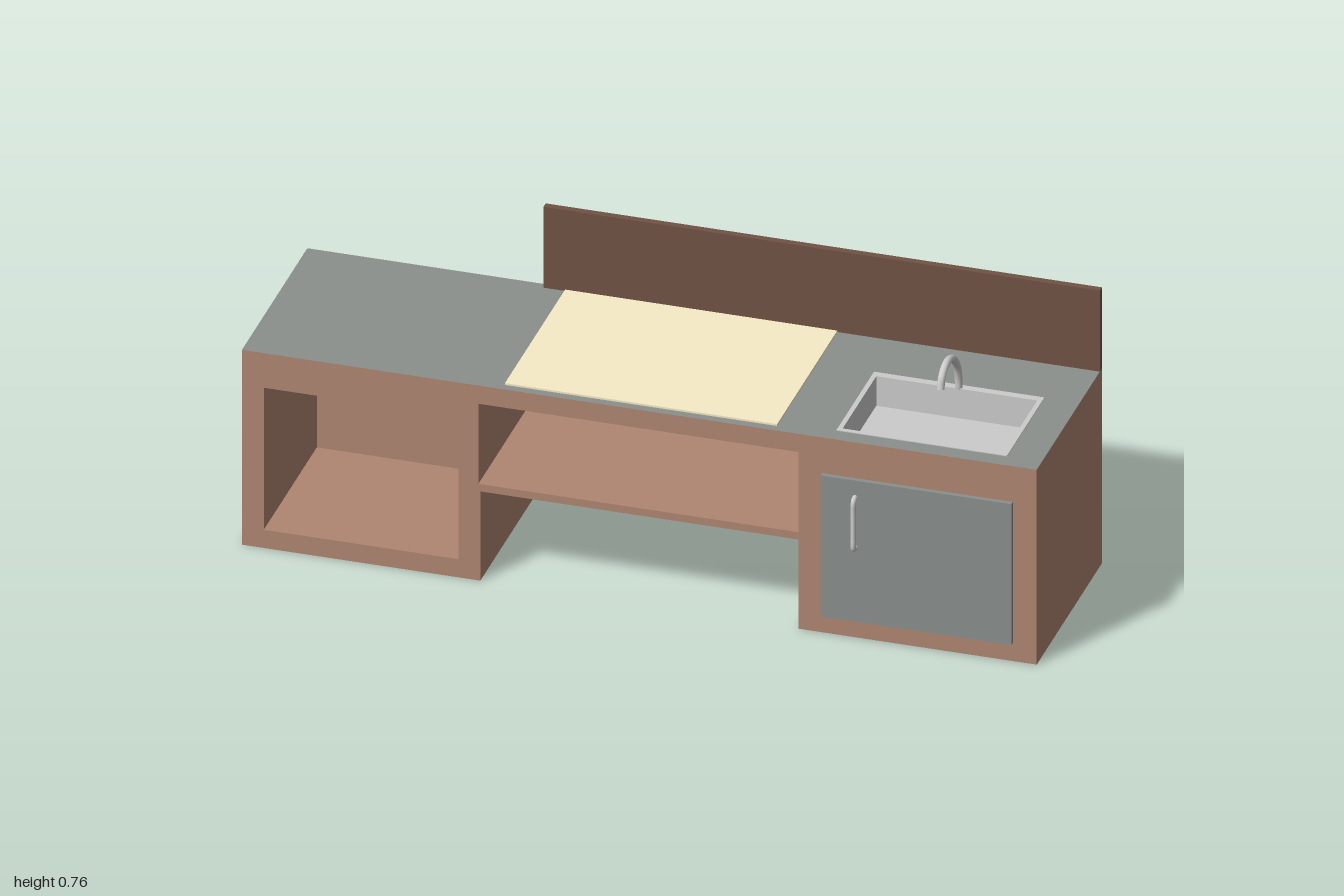
import * as THREE from 'three';

const mat = (color) => new THREE.MeshStandardMaterial({ color });

// Closed path of corner points
const polygon = (pts, Type = THREE.Shape) => new Type(pts.map(([x, y]) => new THREE.Vector2(x, y)));
const rect = (x0, x1, y0, y1, Type) => polygon([[x0, y0], [x1, y0], [x1, y1], [x0, y1]], Type);

export function createModel() {
  const model = new THREE.Group();
  const wood = mat(0xaf8672);
  const darkWood = mat(0x705244);
  const slate = mat(0x8a908d);
  const cream = mat(0xf8ecc6);
  const metal = mat(0xcccccc);

  const add = (name, geometry, material) => {
    const mesh = new THREE.Mesh(geometry, material);
    mesh.name = name;
    model.add(mesh);
    return mesh;
  };
  const box = (name, material, x0, x1, y0, y1, z0, z1) => {
    const mesh = add(name, new THREE.BoxGeometry(x1 - x0, y1 - y0, z1 - z0), material);
    mesh.position.set((x0 + x1) / 2, (y0 + y1) / 2, (z0 + z1) / 2);
  };
  // Shape drawn in x, y and extruded from z0 to z1
  const upright = (name, material, shape, z0, z1) => {
    add(name, new THREE.ExtrudeGeometry(shape, { depth: z1 - z0, bevelEnabled: false }), material).position.z = z0;
  };
  // Shape drawn in x, -z and extruded from y0 to y1
  const flat = (name, material, shape, y0, y1) => {
    const geometry = new THREE.ExtrudeGeometry(shape, { depth: y1 - y0, bevelEnabled: false });
    geometry.rotateX(-Math.PI / 2);
    add(name, geometry, material).position.y = y0;
  };

  // Cabinet body in layers: solid back, core with niches and sink cavity, front frame
  const top = 0.533;
  const outline = (notch = []) => polygon([
    [-1, 0], [-0.4, 0], [-0.4, 0.245], [0.4, 0.245], [0.4, 0], [1, 0], [1, top], ...notch, [-1, top],
  ]);
  const niches = () => [
    rect(-0.945, -0.455, 0.05, 0.44, THREE.Path),
    rect(-0.405, 0.4, 0.265, 0.485, THREE.Path),
  ];
  const core = outline([[0.93, top], [0.93, 0.4], [0.47, 0.4], [0.47, top]]);
  const frame = outline();
  core.holes = niches();
  frame.holes = niches();
  upright('cabinetBack', wood, outline(), -0.28, -0.18);
  upright('cabinetCore', wood, core, -0.18, 0.21);
  upright('cabinetFrontFrame', wood, frame, 0.21, 0.248);

  // Countertop skin with sink opening
  const counter = rect(-1, 1, -0.248, 0.28);
  counter.holes = [rect(0.487, 0.908, -0.202, 0.095, THREE.Path)];
  flat('countertop', [slate, wood], counter, top, 0.535);
  box('cuttingBoard', cream, -0.345, 0.34, 0.535, 0.54, -0.26, 0.226);
  box('backsplash', darkWood, -0.4, 1, 0.535, 0.757, -0.28, -0.262);

  // Sink: rim, walls and floor
  const ring = (x0, x1, z0, z1, inset, backInset = inset) => {
    const shape = rect(x0, x1, -z1, -z0);
    shape.holes = [rect(x0 + inset, x1 - inset, -z1 + inset, -z0 - backInset, THREE.Path)];
    return shape;
  };
  flat('sinkRim', metal, ring(0.483, 0.912, -0.097, 0.206, 0.012, 0.02), 0.534, 0.537);
  flat('sinkWalls', metal, ring(0.487, 0.908, -0.095, 0.202, 0.008, 0.018), 0.455, 0.535);
  box('sinkFloor', metal, 0.487, 0.908, 0.448, 0.456, -0.095, 0.202);

  // Tube with closed ends along points in y, z at one x
  const pipe = (name, x, pts, radius, segments) => {
    const path = new THREE.CatmullRomCurve3(pts.map(([y, z]) => new THREE.Vector3(x, y, z)));
    add(name, new THREE.TubeGeometry(path, segments, radius, 12), metal);
    for (const t of [0, 1]) {
      const cap = add(name + 'End', new THREE.CircleGeometry(radius, 12), metal);
      cap.position.copy(path.getPoint(t));
      cap.lookAt(cap.position.clone().addScaledVector(path.getTangent(t), t ? 1 : -1));
    }
  };
  pipe('faucet', 0.7, [
    [0.535, -0.085], [0.565, -0.083], [0.6, -0.072], [0.635, -0.044], [0.652, -0.012],
    [0.655, 0.014], [0.647, 0.038], [0.633, 0.053], [0.608, 0.061],
  ], 0.0095, 40);

  // Door and handle
  box('door', slate, 0.46, 0.94, 0.05, 0.437, 0.248, 0.26);
  pipe('doorHandle', 0.547, [
    [0.253, 0.258], [0.253, 0.266], [0.256, 0.273], [0.264, 0.276], [0.29, 0.276],
    [0.355, 0.276], [0.381, 0.276], [0.388, 0.273], [0.391, 0.266], [0.391, 0.258],
  ], 0.0065, 40);

  return model;
}
